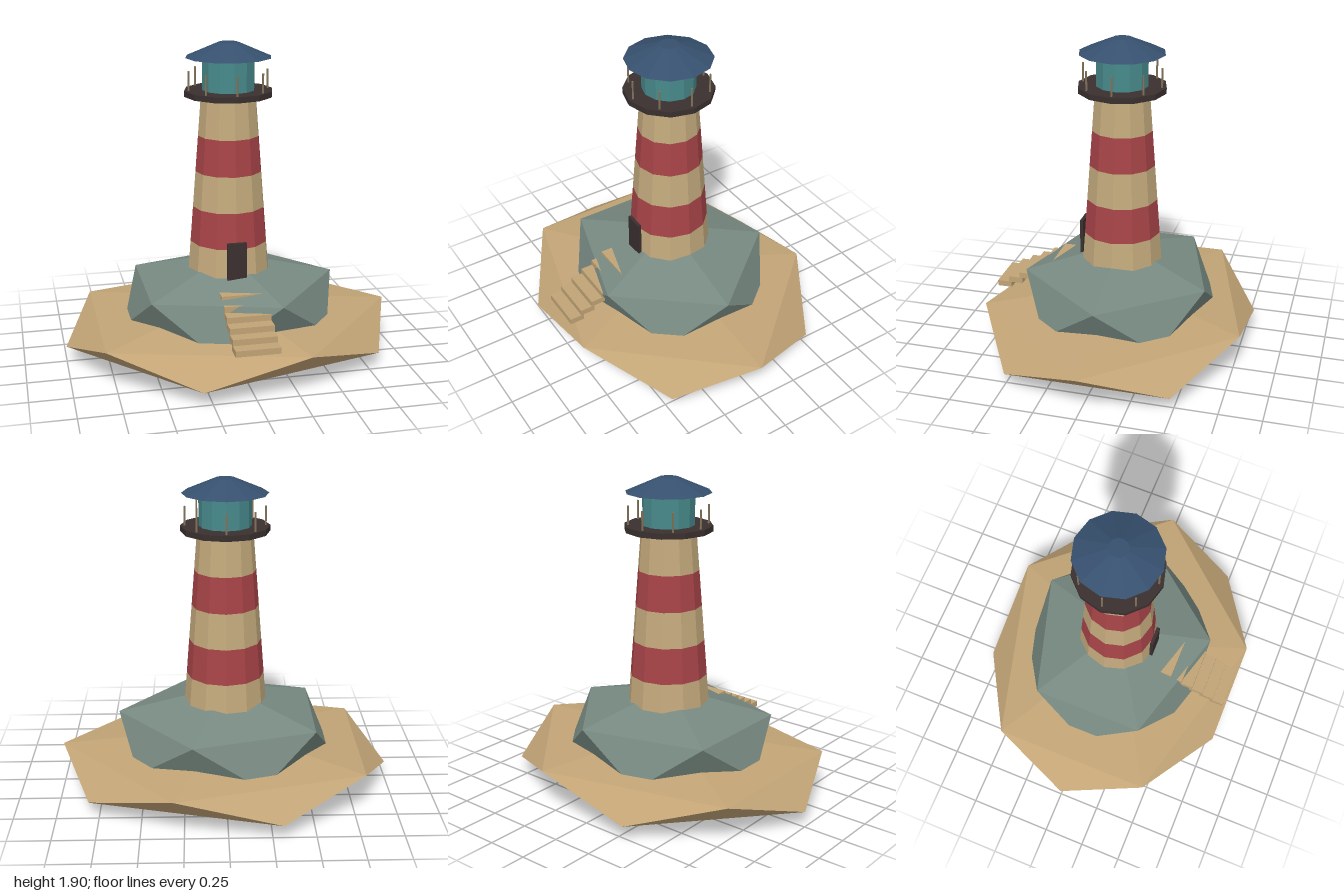
import * as THREE from 'three';
import { ConvexGeometry } from 'three/addons/geometries/ConvexGeometry.js';

const mat = (name, color) => {
  const m = new THREE.MeshStandardMaterial({ color, flatShading: true });
  m.name = name;
  return m;
};

export function createModel() {
  const sand = mat('sand', 0xc2a476);
  const stone = mat('stone', 0x778981);
  const cream = mat('cream', 0xc4aa7d);
  const red = mat('red', 0xa84448);
  const dark = mat('dark iron', 0x3a302f);
  const glass = mat('teal glass', 0x488a8c);
  const navy = mat('navy roof', 0x36506e);
  const brass = mat('brass', 0x84745a);

  const model = new THREE.Group();
  model.name = 'lighthouse';

  const add = (name, geometry, material, x = 0, y = 0, z = 0, parent = model) => {
    const mesh = new THREE.Mesh(geometry, material);
    mesh.name = name;
    mesh.position.set(x, y, z);
    parent.add(mesh);
    return mesh;
  };

  // Twelve-sided section standing between two heights
  const drum = (name, rTop, rBottom, y0, y1, material, open = false) =>
    add(name, new THREE.CylinderGeometry(rTop, rBottom, y1 - y0, 12, 1, open), material, 0, (y0 + y1) / 2);

  // Flattened icosahedron with a pole up: two staggered rings of five corners
  const boulder = (rx, ry, rz) => {
    const points = [new THREE.Vector3(0, ry, 0), new THREE.Vector3(0, -ry, 0)];
    for (let i = 0; i < 10; i++) {
      const a = (i * Math.PI) / 5;
      const y = (i % 2 ? -1 : 1) * ry / Math.sqrt(5);
      points.push(new THREE.Vector3(rx * Math.cos(a), y, rz * Math.sin(a)));
    }
    return new ConvexGeometry(points);
  };

  // Ground
  add('island', boulder(1, 0.172, 0.83), sand, 0, 0.172, 0);
  add('rock', boulder(0.65, 0.292, 0.584), stone, 0, 0.33, 0);

  // Tapered tower in alternating bands
  const y0 = 0.5, step = 0.2148, radius = (i) => 0.25 - 0.0168 * i;
  for (let i = 0; i < 5; i++) {
    drum('towerBand' + (i + 1), radius(i + 1), radius(i), y0 + i * step, y0 + (i + 1) * step,
      i % 2 ? red : cream, i < 4);
  }

  // Gallery, lantern room and roof
  drum('gallery', 0.262, 0.262, 1.592, 1.626, dark);
  drum('lantern', 0.155, 0.155, 1.626, 1.816, glass);
  drum('roof', 0.057, 0.254, 1.816, 1.902, navy);

  // Railing posts
  const railing = new THREE.Group();
  railing.name = 'railing';
  model.add(railing);
  for (let i = 0; i < 8; i++) {
    const a = (i * Math.PI) / 4;
    add('post', new THREE.CylinderGeometry(0.006, 0.006, 0.115, 6), brass,
      0.235 * Math.sin(a), 1.682, 0.235 * Math.cos(a), railing);
  }

  // Door
  add('door', new THREE.BoxGeometry(0.115, 0.23, 0.02), dark, -0.002, 0.645, 0.242);

  // Steps climbing into the rock
  const stairs = new THREE.Group();
  stairs.name = 'stairs';
  model.add(stairs);
  for (let i = 0; i < 6; i++) {
    add('step', new THREE.BoxGeometry(0.258, 0.036, 0.09), sand,
      0, 0.302 + 0.036 * i, 0.73 - 0.073 * i, stairs);
  }

  return model;
}
